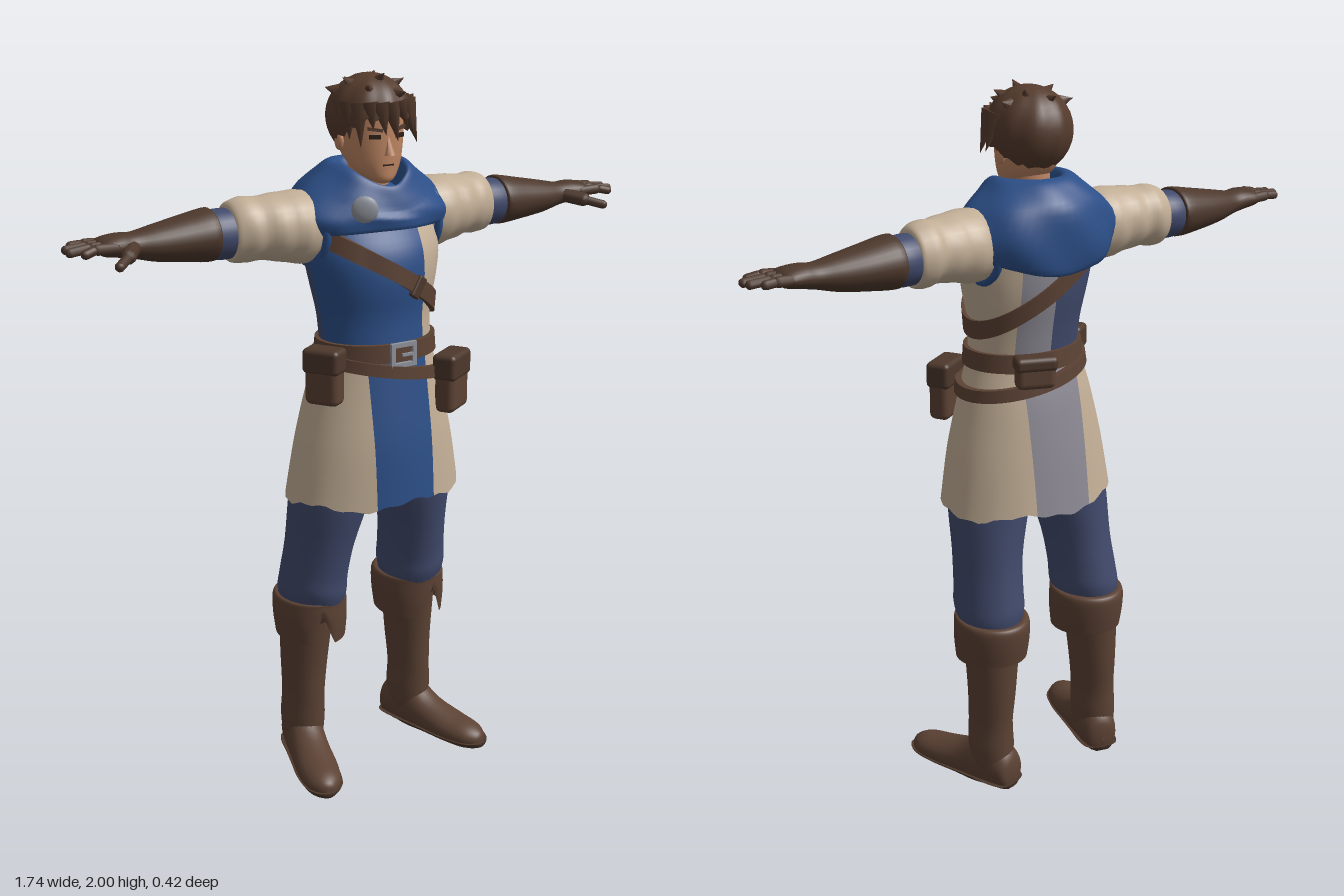
import * as THREE from 'three';
import { toCreasedNormals } from 'three/addons/utils/BufferGeometryUtils.js';
import { RoundedBoxGeometry } from 'three/addons/geometries/RoundedBoxGeometry.js';

const TAU = Math.PI * 2;
const mat = (name, color) => {
  const m = new THREE.MeshStandardMaterial({ color, side: THREE.DoubleSide });
  m.name = name;
  return m;
};
const M = {
  cream: mat('cream cloth', 0xc2ae96), blue: mat('blue cloth', 0x2c4f88), navy: mat('navy cloth', 0x414a6c),
  grey: mat('grey cloth', 0x8c8993), skin: mat('skin', 0xbd8562), hair: mat('hair', 0x553b2d),
  leather: mat('leather', 0x5c4234), dark: mat('dark leather', 0x4d382c), metal: mat('metal', 0x90949c),
  ink: mat('ink', 0x2a1c17),
};

// Grid of points f(u, v) -> [x, y, z]; u runs round, v runs along
function surface(nu, nv, f, closed = true) {
  const pos = [], idx = [], w = closed ? nu : nu + 1;
  for (let i = 0; i <= nv; i++) for (let j = 0; j < w; j++) pos.push(...f(j / nu, i / nv));
  for (let i = 0; i < nv; i++) for (let j = 0; j < nu; j++) {
    const k = (j + 1) % w, a = i * w + j, b = i * w + k, c = a + w, d = b + w;
    idx.push(a, b, d, a, d, c);
  }
  const g = new THREE.BufferGeometry();
  g.setAttribute('position', new THREE.Float32BufferAttribute(pos, 3));
  g.setIndex(idx);
  g.computeVertexNormals();
  return g;
}

// Smoothly interpolated row of a table, t in 0..1
function sample(rows, t) {
  const s = t * (rows.length - 1), i = Math.min(Math.floor(s), rows.length - 2), f = s - i;
  const at = k => rows[Math.max(0, Math.min(rows.length - 1, k))];
  return rows[i].map((p1, c) => {
    const p0 = at(i - 1)[c], p2 = at(i + 1)[c], p3 = at(i + 2)[c];
    return p1 + 0.5 * f * (p2 - p0 + f * (2 * p0 - 5 * p1 + 4 * p2 - p3 + f * (3 * (p1 - p2) + p3 - p0)));
  });
}

// Rings [y, cx, cz, rx, rz]; from/to give the angle range at a ring (0 = front, + toward +x)
function loft(rings, { n = 28, sub = 4, from, to, warp } = {}) {
  return surface(n, (rings.length - 1) * sub, (u, v) => {
    const [y, cx, cz, rx, rz] = sample(rings, v);
    const a0 = from ? from(rx) : 0, a1 = to ? to(rx) : TAU, a = a0 + (a1 - a0) * u;
    const p = [cx + rx * Math.sin(a), y, cz + rz * Math.cos(a)];
    return warp ? warp(p, a) : p;
  }, !from);
}

function capsule(a, b, r) {
  const p = new THREE.Vector3(...a), d = new THREE.Vector3(...b).sub(p), len = d.length();
  const g = new THREE.CapsuleGeometry(r, Math.max(len - r, 0.001), 4, 10);
  g.applyQuaternion(new THREE.Quaternion().setFromUnitVectors(new THREE.Vector3(0, 1, 0), d.clone().normalize()));
  return g.translate(...p.addScaledVector(d, 0.5).toArray());
}

function spike(a, b, r) {
  const p = new THREE.Vector3(...a), d = new THREE.Vector3(...b).sub(p);
  const g = new THREE.ConeGeometry(r, d.length(), 6);
  g.applyQuaternion(new THREE.Quaternion().setFromUnitVectors(new THREE.Vector3(0, 1, 0), d.clone().normalize()));
  return g.translate(...p.addScaledVector(d, 0.5).toArray());
}

const SKIRT = [[0.85, 0, 0.005, 0.262, 0.193], [1, 0, 0.01, 0.235, 0.178], [1.15, 0, 0.012, 0.198, 0.155],
  [1.25, 0, 0.018, 0.168, 0.135], [1.29, 0, 0.02, 0.162, 0.13]];
const CHEST = [[1.28, 0, 0.02, 0.162, 0.13], [1.36, 0, 0.012, 0.166, 0.133], [1.45, 0, 0.008, 0.185, 0.145],
  [1.53, 0, 0, 0.2, 0.142], [1.6, 0, -0.02, 0.19, 0.125], [1.67, 0, -0.025, 0.13, 0.095], [1.7, 0, -0.02, 0.06, 0.06]];
const BODY = [...SKIRT.slice(0, 4), ...CHEST];
function bodyAt(y) {
  let i = 0;
  while (i < BODY.length - 2 && BODY[i + 1][0] < y) i++;
  const t = (y - BODY[i][0]) / (BODY[i + 1][0] - BODY[i][0]);
  return BODY[i].map((v, c) => v + (BODY[i + 1][c] - v) * t);
}
// Flat strap round the body, following its shape, tilted along x
function strap(yc, slope, h, out) {
  const section = [[-0.005, -1], [out, -1], [out, 1], [-0.005, 1], [-0.005, -1]];
  return toCreasedNormals(surface(72, 4, (u, v) => {
    const a = u * TAU, [o, k] = section[Math.round(v * 4)], y = yc + slope * 0.175 * Math.sin(a);
    const [, , cz, rx, rz] = bodyAt(y + k * h * 0.25);
    return [(rx + o) * Math.sin(a), y + k * h / 2, cz + (rz + o) * Math.cos(a)];
  }), 0.7);
}

export function createModel() {
  const root = new THREE.Group();
  root.name = 'adventurer';
  const add = (name, geo, m) => {
    const mesh = new THREE.Mesh(geo, m);
    mesh.name = name;
    root.add(mesh);
  };
  // Adds the part on +x and its mirror on -x
  const pair = (name, geo, m) => {
    add('left ' + name, geo, m);
    const g = geo.clone().scale(-1, 1, 1), ix = g.index.array;
    for (let i = 0; i < ix.length; i += 3) [ix[i], ix[i + 1]] = [ix[i + 1], ix[i]];
    add('right ' + name, g, m);
  };
  const edge = x => rx => Math.asin(Math.max(-1, Math.min(1, x / rx)));
  const rear = x => rx => Math.PI - edge(x)(rx);

  // Tunic skirt in four panels with an uneven hem
  const hem = (p, a) => {
    const k = Math.max(0, (1 - p[1]) / 0.15);
    p[1] += k * (0.009 * Math.sin(5 * a + 1) + 0.004 * Math.sin(17 * a) - 0.008);
    return p;
  };
  const skirt = (name, from, to, m, n) => add(name, loft(SKIRT, { from, to, n, warp: hem }), m);
  skirt('skirt front panel', edge(-0.095), edge(0.09), M.blue, 12);
  skirt('skirt left panel', edge(0.09), rear(0.09), M.cream, 24);
  skirt('skirt back panel', rear(0.09), rear(-0.09), M.grey, 12);
  skirt('skirt right panel', rear(-0.09), rx => TAU + edge(-0.095)(rx), M.cream, 24);

  // Tunic chest
  const chest = (name, from, to, m) => add(name, loft(CHEST, { from, to, n: 18 }), m);
  chest('chest front', () => -1.6, edge(0.085), M.blue);
  chest('chest left side', edge(0.085), rear(0.1), M.cream);
  chest('chest back strip', rear(0.1), () => Math.PI, M.grey);
  chest('chest back', () => Math.PI, () => TAU - 1.6, M.navy);

  // Hooded cowl
  const cowl = [[1.585, 0, -0.03, 0.19, 0.145], [1.578, 0, -0.03, 0.228, 0.165], [1.63, 0, -0.035, 0.243, 0.172],
    [1.69, 0, -0.035, 0.2, 0.165], [1.735, 0, -0.025, 0.145, 0.142], [1.762, 0, -0.012, 0.11, 0.118],
    [1.755, 0, 0, 0.088, 0.095], [1.69, 0, 0, 0.065, 0.08]];
  add('cowl', loft(cowl, {
    n: 56, warp: (p, a) => {
      const c = Math.cos(a), f = Math.max(0, c), b = Math.max(0, -c), low = Math.max(0, Math.min(1, (1.7 - p[1]) / 0.1));
      const fold = 1 + 0.018 * Math.sin(7 * a + p[1] * 40);
      return [p[0] * fold, p[1] - 0.055 * f * f * (1 - low) + 0.02 * f * low - 0.055 * b * b * low, p[2] * fold];
    },
  }), M.blue);
  add('brooch', new THREE.SphereGeometry(0.036, 20, 10).scale(1, 1, 0.35).rotateY(-0.5).translate(-0.1, 1.66, 0.128), M.metal);

  // Belts, buckles and pouches
  add('belt', strap(1.268, 0, 0.05, 0.012), M.leather);
  add('slung belt', strap(1.212, -0.2, 0.034, 0.016), M.leather);
  add('shoulder strap', strap(1.475, -0.68, 0.052, 0.012), M.leather);
  const frame = new THREE.Shape([[-0.04, -0.034], [0.04, -0.034], [0.04, 0.034], [-0.04, 0.034]].map(p => new THREE.Vector2(...p)));
  frame.holes.push(new THREE.Path([[-0.028, -0.022], [-0.028, 0.022], [0.028, 0.022], [0.028, -0.022]].map(p => new THREE.Vector2(...p))));
  add('belt buckle', new THREE.ExtrudeGeometry(frame, { depth: 0.012, bevelEnabled: false }).translate(0, 1.262, 0.157), M.metal);
  add('buckle tongue', new THREE.BoxGeometry(0.035, 0.008, 0.008).translate(0.012, 1.262, 0.166), M.metal);
  add('strap keeper', new RoundedBoxGeometry(0.03, 0.062, 0.018, 2, 0.005).rotateZ(-0.6).rotateY(0.2).translate(0.05, 1.44, 0.156), M.dark);
  const pouch = (name, w, h, d, yaw, x, y, z) => {
    const place = g => g.rotateY(yaw).translate(x, y, z);
    add(name, place(new RoundedBoxGeometry(w, h, d, 3, 0.018)), M.leather);
    add(name + ' flap', place(new RoundedBoxGeometry(w + 0.008, h * 0.45, d + 0.01, 3, 0.014).translate(0, h * 0.29, 0)), M.dark);
  };
  pouch('left pouch', 0.115, 0.165, 0.06, 0.55, 0.178, 1.155, 0.138);
  pouch('right pouch', 0.1, 0.155, 0.06, -1.0, -0.195, 1.21, 0.075);
  pouch('back pouch', 0.11, 0.09, 0.05, 2.75, 0.075, 1.255, -0.143);

  // Arms: rings run outward along x as [x, -y, z, height radius, depth radius]
  const arm = (rings, opt) => loft(rings, opt).rotateZ(-Math.PI / 2);
  pair('sleeve', arm([[0.12, -1.6, -0.03, 0.075, 0.075], [0.2, -1.6, -0.033, 0.098, 0.098], [0.27, -1.605, -0.038, 0.092, 0.095],
    [0.33, -1.607, -0.046, 0.084, 0.085], [0.37, -1.606, -0.054, 0.087, 0.08], [0.405, -1.602, -0.057, 0.078, 0.073],
    [0.412, -1.6, -0.057, 0.05, 0.05]], { warp: (p, a) => [p[0], p[1], p[2] + 0.003 * Math.sin(p[1] * 90 + a)] }), M.cream);
  pair('armhole trim', new THREE.TorusGeometry(0.097, 0.012, 8, 36).rotateY(Math.PI / 2).translate(0.178, 1.595, -0.03), M.blue);
  pair('undersleeve', arm([[0.39, -1.6, -0.057, 0.066, 0.064], [0.44, -1.6, -0.06, 0.067, 0.068], [0.49, -1.6, -0.06, 0.06, 0.06]]), M.navy);
  pair('gauntlet', arm([[0.465, -1.603, -0.06, 0.05, 0.055], [0.462, -1.603, -0.06, 0.07, 0.079], [0.54, -1.6, -0.06, 0.06, 0.071],
    [0.62, -1.598, -0.058, 0.047, 0.057], [0.68, -1.6, -0.056, 0.034, 0.044], [0.72, -1.605, -0.053, 0.031, 0.048],
    [0.765, -1.606, -0.05, 0.023, 0.05], [0.785, -1.606, -0.05, 0.003, 0.02]]), M.dark);
  for (const [i, z0, z1, x1] of [[0, -0.014, 0.006, 0.835], [1, -0.04, -0.028, 0.862], [2, -0.063, -0.06, 0.86], [3, -0.086, -0.092, 0.835]]) {
    const knuckle = [0.8, 1.61, (z0 + z1) / 2];
    pair('finger base ' + (i + 1), capsule([0.735, 1.606, z0], knuckle, 0.0145), M.dark);
    pair('finger tip ' + (i + 1), capsule(knuckle, [x1, 1.602 + 0.002 * i, z1], 0.012), M.dark);
  }
  pair('thumb base', capsule([0.685, 1.6, -0.03], [0.73, 1.588, 0.03], 0.02), M.dark);
  pair('thumb tip', capsule([0.728, 1.588, 0.028], [0.77, 1.575, 0.066], 0.013), M.dark);

  // Trousers
  pair('trouser leg', loft([[0.47, 0.17, -0.06, 0.075, 0.09], [0.54, 0.17, -0.052, 0.094, 0.112], [0.6, 0.167, -0.045, 0.093, 0.111],
    [0.7, 0.157, -0.027, 0.094, 0.113], [0.85, 0.135, -0.005, 0.112, 0.125], [1, 0.11, 0, 0.11, 0.13], [1.1, 0.08, 0, 0.08, 0.1]],
  { warp: (p, a) => [p[0], p[1] + 0.01 * Math.sin(2 * a), p[2]] }), M.navy);

  // Boots: shaft, notched cuff, splayed foot and sole
  pair('boot shaft', loft([[0.04, 0.188, -0.085, 0.052, 0.07], [0.12, 0.188, -0.083, 0.062, 0.074], [0.2, 0.187, -0.08, 0.058, 0.075],
    [0.3, 0.183, -0.081, 0.064, 0.08], [0.45, 0.178, -0.075, 0.075, 0.09]]), M.leather);
  const cuff = [[0.395, 0.17, -0.062, 0.099, 0.108], [0.45, 0.17, -0.064, 0.104, 0.115], [0.505, 0.17, -0.066, 0.104, 0.117],
    [0.525, 0.17, -0.062, 0.097, 0.112], [0.522, 0.17, -0.06, 0.075, 0.09]];
  pair('boot cuff', loft(cuff, {
    n: 64, warp: (p, a) => {
      const d = Math.abs(Math.atan2(Math.sin(a - 0.2), Math.cos(a - 0.2))), notch = Math.max(0, 1 - d / 0.38);
      const k = Math.max(0, (0.52 - p[1]) / 0.125);
      return [p[0], p[1] + k * (0.095 * notch + 0.012 * (1 - Math.cos(a)) / 2), p[2]];
    },
  }), M.leather);
  const footRings = [[-0.086, 0, -0.045, 0.004, 0.01], [-0.076, 0, -0.05, 0.042, 0.055], [-0.035, 0, -0.06, 0.055, 0.075],
    [0.03, 0, -0.055, 0.056, 0.085], [0.1, 0, -0.04, 0.058, 0.058], [0.18, 0, -0.03, 0.06, 0.043],
    [0.25, 0, -0.025, 0.05, 0.036], [0.285, 0, -0.022, 0.025, 0.022], [0.293, 0, -0.02, 0.003, 0.005]];
  const foot = (grow, lo, hi) => {
    const g = loft(footRings, { warp: p => [p[0] * grow, p[1] * (grow * 0.5 + 0.5), -Math.max(lo, Math.min(hi, -p[2]))] });
    g.rotateX(Math.PI / 2).rotateY(0.28).translate(0.188, 0, -0.085);
    g.computeVertexNormals();
    return g;
  };
  pair('boot foot', foot(1, 0.01, 1), M.leather);
  pair('boot sole', foot(1.06, 0, 0.018), M.dark);

  // Head and face
  add('neck', new THREE.CylinderGeometry(0.052, 0.06, 0.17, 20).translate(0, 1.7, -0.015), M.skin);
  add('head', loft([[1.711, 0, 0.055, 0.012, 0.014], [1.722, 0, 0.043, 0.036, 0.042], [1.75, 0, 0.02, 0.063, 0.067], [1.79, 0, 0, 0.081, 0.088],
    [1.85, 0, -0.01, 0.09, 0.098], [1.91, 0, -0.012, 0.088, 0.098], [1.95, 0, -0.01, 0.068, 0.078], [1.965, 0, -0.01, 0.003, 0.003]]), M.skin);
  add('nose', new THREE.ConeGeometry(0.017, 0.056, 6).scale(0.85, 1, 1).rotateX(-0.12).translate(0, 1.815, 0.089), M.skin);
  add('mouth', new THREE.BoxGeometry(0.034, 0.004, 0.008).translate(0, 1.762, 0.084), M.ink);
  pair('eye', new THREE.BoxGeometry(0.03, 0.011, 0.009).rotateY(0.35).translate(0.038, 1.837, 0.08), M.ink);
  pair('eyebrow', new THREE.BoxGeometry(0.04, 0.008, 0.009).rotateZ(0.15).rotateY(0.35).translate(0.038, 1.856, 0.081), M.hair);
  pair('ear', new THREE.SphereGeometry(0.026, 12, 10).scale(0.4, 1, 0.7).translate(0.092, 1.822, -0.012), M.skin);

  // Hair cap with a ragged edge, plus tufts
  add('hair cap', surface(60, 14, (u, v) => {
    const a = u * TAU, back = (1 - Math.cos(a)) / 2, rag = Math.abs(((u * 15) % 1) - 0.5);
    const phi = (1 - v) * (1.3 + 1.15 * Math.pow(back, 0.8) + 0.3 * rag) + 0.002;
    const r = Math.sin(phi) * (1 + 0.02 * Math.sin(9 * a + 2 * phi));
    return [0.112 * r * Math.sin(a), 1.878 + 0.116 * Math.cos(phi), -0.01 + 0.122 * r * Math.cos(a)];
  }), M.hair);
  for (let i = 0; i < 11; i++) {
    const a = -1.5 + i * 0.3, s = Math.sin(a), c = Math.cos(a), drop = 0.055 + 0.022 * ((i * 7) % 3) + 0.02 * Math.abs(s);
    add('fringe tuft', spike([0.093 * s, 1.925, 0.1 * c - 0.005], [0.113 * s + 0.012, 1.925 - drop, 0.112 * c + 0.002], 0.027), M.hair);
  }
  for (let i = 0; i < 9; i++) {
    const a = i * 2.4, s = Math.sin(a), c = Math.cos(a), r = 0.03 + 0.006 * i;
    add('crown tuft', spike([r * s, 1.965 - 0.003 * i, r * c - 0.01], [(r + 0.045) * s, 1.998 - 0.006 * i, (r + 0.045) * c - 0.01], 0.024), M.hair);
  }
  return root;
}
